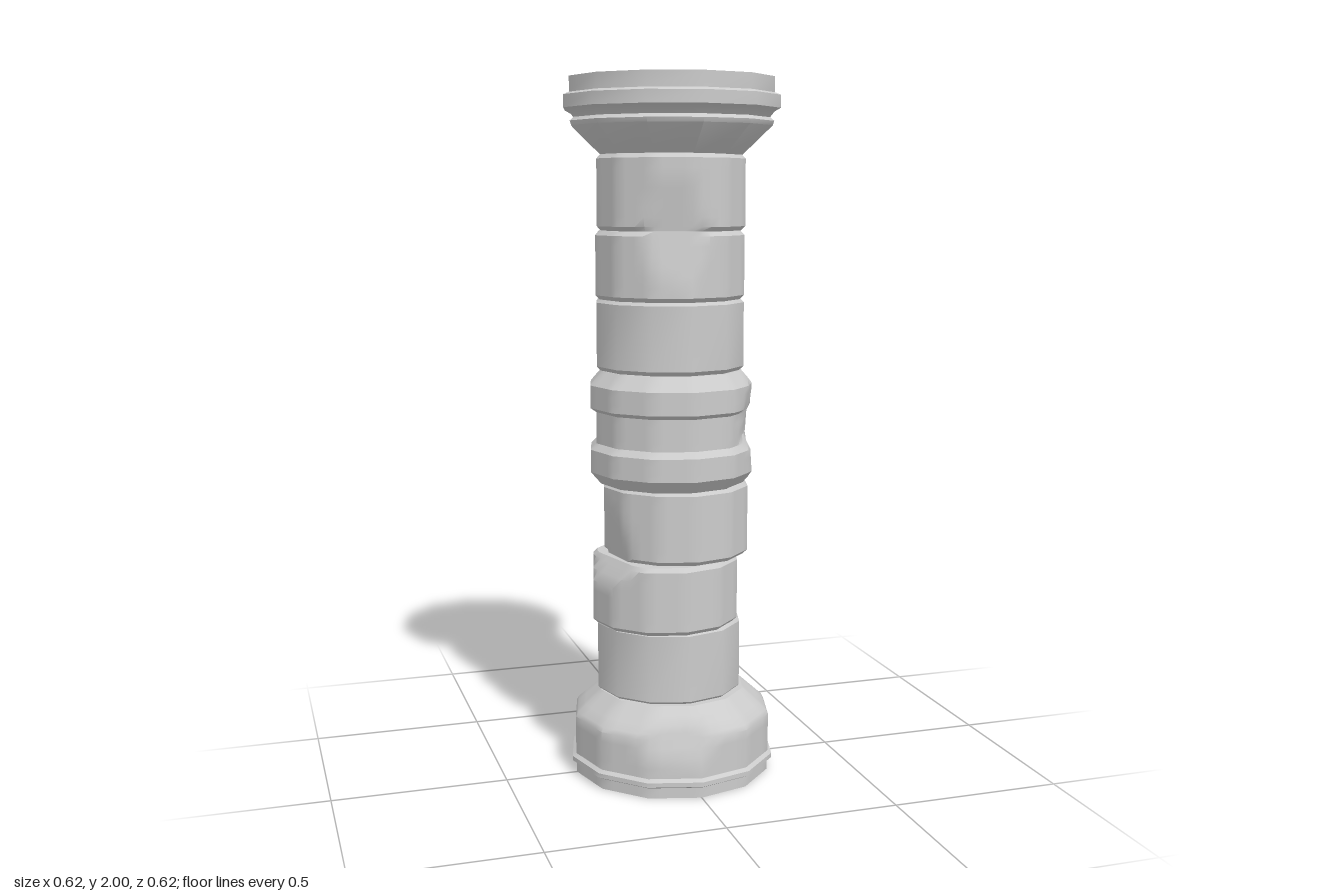
import * as THREE from 'three';
import { toCreasedNormals } from 'three/addons/utils/BufferGeometryUtils.js';

const SIDES = 12;
const stone = new THREE.MeshStandardMaterial({ color: 0xcccccc });

// A cut limits how far the stone reaches towards an azimuth (0 = +z, 90 = +x),
// from `low` at height y0 to `high` at height y1; `where` restricts it to one side of a crack.
function applyCut(p, { azimuth, low, high, y0, y1, where }) {
  if (where && !where(p)) return;
  const a = THREE.MathUtils.degToRad(azimuth);
  const reach = p.x * Math.sin(a) + p.z * Math.cos(a);
  const limit = THREE.MathUtils.lerp(low, high, (p.y - y0) / (y1 - y0));
  if (reach > limit) {
    p.x *= limit / reach;
    p.z *= limit / reach;
  }
}

// Twelve-sided closed turning of a [radius, y] profile, listed from bottom to top
function turnedStone(name, profile, { x = 0, z = 0, cuts = [] } = {}) {
  const sub = cuts.length ? 4 : 1;
  const cols = SIDES * sub;
  const rows = [[0, profile[0][1]]];
  profile.forEach(([r, y], k) => {
    rows.push([r, y]);
    const next = profile[k + 1];
    if (!next || sub === 1) return;
    const n = Math.ceil((next[1] - y) / 0.03);
    for (let s = 1; s < n; s++) {
      rows.push([r + ((next[0] - r) * s) / n, y + ((next[1] - y) * s) / n]);
    }
  });
  rows.push([0, profile[profile.length - 1][1]]);

  const positions = [];
  const index = [];
  const corner = (k) => {
    const a = (k * Math.PI * 2) / SIDES;
    return new THREE.Vector3(Math.sin(a), 0, Math.cos(a));
  };
  for (const [r, y] of rows) {
    for (let i = 0; i < cols; i++) {
      const k = Math.floor(i / sub);
      const p = corner(k).lerp(corner(k + 1), (i % sub) / sub).multiplyScalar(r);
      p.y = y;
      cuts.forEach((cut) => applyCut(p, cut));
      positions.push(p.x + x, p.y, p.z + z);
    }
  }
  for (let j = 0; j < rows.length - 1; j++) {
    for (let i = 0; i < cols; i++) {
      const a = j * cols + i;
      const b = j * cols + ((i + 1) % cols);
      const c = b + cols;
      const d = a + cols;
      if (rows[j][0] > 0) index.push(a, b, c);
      if (rows[j + 1][0] > 0) index.push(a, c, d);
    }
  }
  const geometry = new THREE.BufferGeometry();
  geometry.setAttribute('position', new THREE.Float32BufferAttribute(positions, 3));
  geometry.setIndex(index);
  const mesh = new THREE.Mesh(toCreasedNormals(geometry, THREE.MathUtils.degToRad(36)), stone);
  mesh.name = name;
  return mesh;
}

// Plain shaft drum with a small bevel at both rims
function drum(name, y0, y1, radius, x, z, cuts = []) {
  const b = 0.012;
  const profile = [[radius - b, y0], [radius, y0 + b], [radius, y1 - b], [radius - b, y1]];
  return turnedStone(name, profile, { x, z, cuts: cuts.map((c) => ({ y0, y1, ...c })) });
}

export function createModel() {
  const column = new THREE.Group();
  column.name = 'weatheredColumn';

  // Base with a foot ring, sloped shoulder and a cracked, sunken front
  const crack = (p) => p.x < (p.y < 0.17 ? 0.02 + 0.6 * p.y : 0.12 - 0.7 * (p.y - 0.17));
  column.add(turnedStone('base', [
    [0.29, 0], [0.29, 0.03], [0.303, 0.037], [0.303, 0.05], [0.292, 0.058],
    [0.292, 0.17], [0.285, 0.182], [0.215, 0.245],
  ], { cuts: [{ azimuth: -12, low: 0.306, high: 0.262, y0: 0.03, y1: 0.17, where: (p) => p.y > 0.055 && crack(p) }] }));

  // Lower shaft drums, shifted off the axis
  column.add(drum('lowerDrum', 0.24, 0.457, 0.214, -0.006, -0.012));
  column.add(drum('chippedDrum', 0.455, 0.65, 0.215, -0.025, 0.015, [
    { azimuth: -75, low: 0.3, high: 0.165 },
    { azimuth: 90, low: 0.198, high: 0.215 },
  ]));
  column.add(drum('thirdDrum', 0.65, 0.862, 0.214, 0.012, 0, [
    { azimuth: -80, low: 0.188, high: 0.216 },
  ]));

  // Middle band: two swollen rings around a recessed neck, cracked on one side
  column.add(turnedStone('middleBand', [
    [0.21, 0.86], [0.24, 0.895], [0.24, 0.96], [0.223, 0.978], [0.223, 1.068],
    [0.24, 1.08], [0.24, 1.145], [0.205, 1.185],
  ], { cuts: [
    { azimuth: 62, low: 0.208, high: 0.232, y0: 1.0, y1: 1.16, where: (p) => p.y > 1 && p.z > 0 },
    { azimuth: 75, low: 0.23, high: 0.222, y0: 0.88, y1: 1, where: (p) => p.y < 1 && p.z > -0.02 },
  ] }));

  // Upper shaft drums
  column.add(drum('fifthDrum', 1.185, 1.39, 0.216, -0.001, -0.013));
  column.add(drum('slantedDrum', 1.39, 1.58, 0.215, -0.015, 0.03, [
    { azimuth: -10, low: 0.216, high: 0.185 },
  ]));
  column.add(drum('upperDrum', 1.58, 1.79, 0.215, -0.003, 0.002, [
    { azimuth: -15, low: 0.188, high: 0.216 },
  ]));

  // Flared capital with a projecting ring
  column.add(turnedStone('capital', [
    [0.2, 1.785], [0.288, 1.868], [0.292, 1.88], [0.28, 1.89], [0.292, 1.905],
    [0.31, 1.915], [0.31, 1.95], [0.293, 1.957], [0.293, 2],
  ]));

  return column;
}
